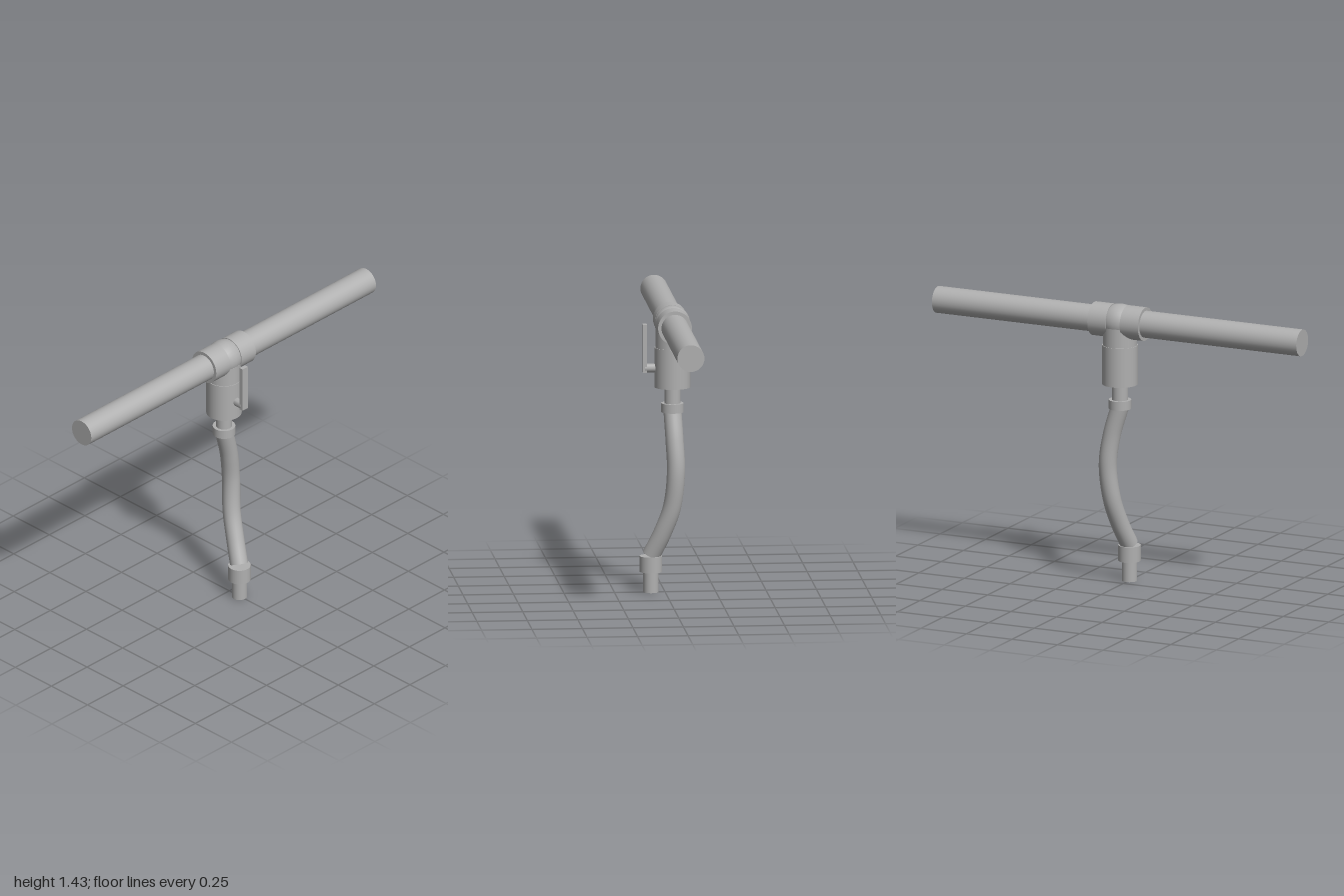
import * as THREE from 'three';

export function createModel() {
  const group = new THREE.Group();
  group.name = 'pipeValve';
  const grey = new THREE.MeshStandardMaterial({ color: 0xb0b0b0 });
  grey.name = 'grey metal';

  const pipeY = 1.343, axisZ = -0.037, spoutZ = 0.07;

  const add = (name, geometry, x, y, z) => {
    const mesh = new THREE.Mesh(geometry, grey);
    mesh.name = name;
    mesh.position.set(x, y, z);
    group.add(mesh);
    return mesh;
  };
  // upright cylinder between two heights
  const upright = (name, r, y0, y1, z) =>
    add(name, new THREE.CylinderGeometry(r, r, y1 - y0, 32), 0, (y0 + y1) / 2, z);

  // horizontal pipe
  add('mainPipe', new THREE.CylinderGeometry(0.067, 0.067, 2, 32), 0, pipeY, axisZ).rotation.z = Math.PI / 2;

  // tee fitting: two collars and a slightly bulged middle band
  for (const side of [-1, 1]) {
    add(side > 0 ? 'leftCollar' : 'rightCollar', new THREE.CylinderGeometry(0.084, 0.084, 0.1, 32),
      side * 0.089, pipeY, axisZ).rotation.z = Math.PI / 2;
  }
  const band = [[0.079, -0.042], [0.085, -0.025], [0.088, 0], [0.085, 0.025], [0.079, 0.042]]
    .map(([r, y]) => new THREE.Vector2(r, y));
  add('middleBand', new THREE.LatheGeometry(band, 32), 0, pipeY, axisZ).rotation.z = Math.PI / 2;

  // valve body and outlet
  upright('teeNeck', 0.085, 1.2, 1.32, axisZ);
  upright('valveBody', 0.0885, 1.025, 1.224, axisZ);
  upright('outletStem', 0.04, 0.93, 1.03, axisZ);
  upright('upperNut', 0.056, 0.9, 0.945, axisZ);

  // lever handle on the front
  add('handleStub', new THREE.CylinderGeometry(0.022, 0.022, 0.08, 8), 0, 1.121, 0.06).rotation.x = Math.PI / 2;
  add('handleLever', new THREE.BoxGeometry(0.037, 0.24, 0.02), 0, 1.221, 0.1);

  // curved hose, closed at the lower end
  const path = new THREE.CatmullRomCurve3([
    [0, 0.91, -0.037], [0.042, 0.76, -0.044], [0.061, 0.61, -0.049],
    [0.047, 0.43, -0.03], [0.026, 0.3, 0.015], [0, 0.187, 0.067],
  ].map((p) => new THREE.Vector3(...p)));
  add('hose', new THREE.TubeGeometry(path, 40, 0.045, 24), 0, 0, 0);
  const cap = add('hoseEnd', new THREE.CircleGeometry(0.045, 24), 0, 0.187, 0.067);
  cap.lookAt(cap.position.clone().add(path.getTangent(1)));

  // lower fitting
  upright('lowerNut', 0.056, 0.102, 0.181, spoutZ);
  upright('spout', 0.038, 0, 0.11, spoutZ);

  return group;
}
